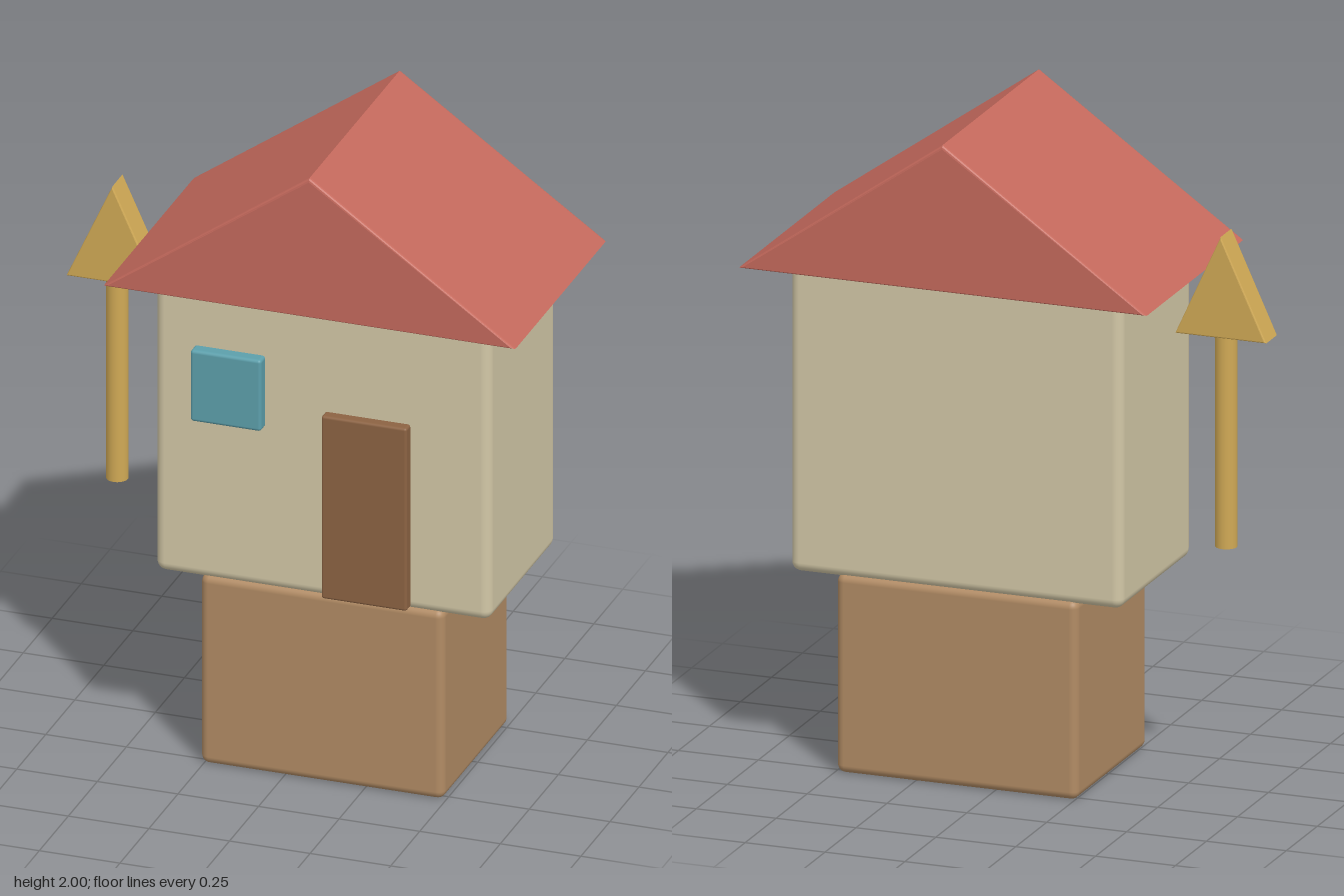
import * as THREE from 'three';
import { RoundedBoxGeometry } from 'three/addons/geometries/RoundedBoxGeometry.js';

function material(name, color) {
  const m = new THREE.MeshStandardMaterial({ color });
  m.name = name;
  return m;
}

// Rounded block given by its extents
function block(name, mat, [x0, x1], [y0, y1], [z0, z1], radius) {
  const geometry = new RoundedBoxGeometry(x1 - x0, y1 - y0, z1 - z0, 4, radius);
  const mesh = new THREE.Mesh(geometry, mat);
  mesh.position.set((x0 + x1) / 2, (y0 + y1) / 2, (z0 + z1) / 2);
  mesh.name = name;
  return mesh;
}

// Triangular prism along z, with slightly bevelled ends
function prism(name, mat, [x0, x1], [y0, y1], halfDepth, bevel) {
  const shape = new THREE.Shape();
  shape.moveTo(x0, y0);
  shape.lineTo(x1, y0);
  shape.lineTo((x0 + x1) / 2, y1);
  shape.closePath();
  const geometry = new THREE.ExtrudeGeometry(shape, {
    depth: 2 * (halfDepth - bevel),
    bevelThickness: bevel,
    bevelSize: bevel,
    bevelOffset: -bevel,
    bevelSegments: 3,
  });
  geometry.translate(0, 0, bevel - halfDepth);
  const mesh = new THREE.Mesh(geometry, mat);
  mesh.name = name;
  return mesh;
}

export function createModel() {
  const roofRed = material('roof red', 0xc4695c);
  const wallCream = material('wall cream', 0xd2c7a6);
  const baseTan = material('base tan', 0xb18b64);
  const doorBrown = material('door brown', 0x8c6343);
  const windowBlue = material('window blue', 0x5c9fab);
  const gold = material('gold', 0xd0a955);

  const model = new THREE.Group();
  model.name = 'house';

  // House, stacked from the ground up
  model.add(
    block('base', baseTan, [-0.26, 0.495], [0, 0.61], [-0.284, 0.284], 0.025),
    block('walls', wallCream, [-0.4, 0.64], [0.6, 1.55], [-0.284, 0.284], 0.03),
    prism('roof', roofRed, [-0.52, 0.757], [1.55, 2], 0.395, 0.01),
  );

  // Door and window on the front wall
  model.add(
    block('door', doorBrown, [0.128, 0.393], [0.61, 1.2], [0.27, 0.317], 0.008),
    block('window', windowBlue, [-0.277, -0.057], [1.12, 1.35], [0.27, 0.322], 0.01),
  );

  // Upright arrow beside the house
  const arrow = new THREE.Group();
  arrow.name = 'arrow';
  const shaft = new THREE.Mesh(new THREE.CylinderGeometry(0.033, 0.033, 0.66, 20), gold);
  shaft.name = 'arrowShaft';
  shaft.position.set(-0.618, 1.07, 0);
  arrow.add(shaft, prism('arrowHead', gold, [-0.76, -0.475], [1.39, 1.7], 0.047, 0.006));
  model.add(arrow);

  return model;
}
